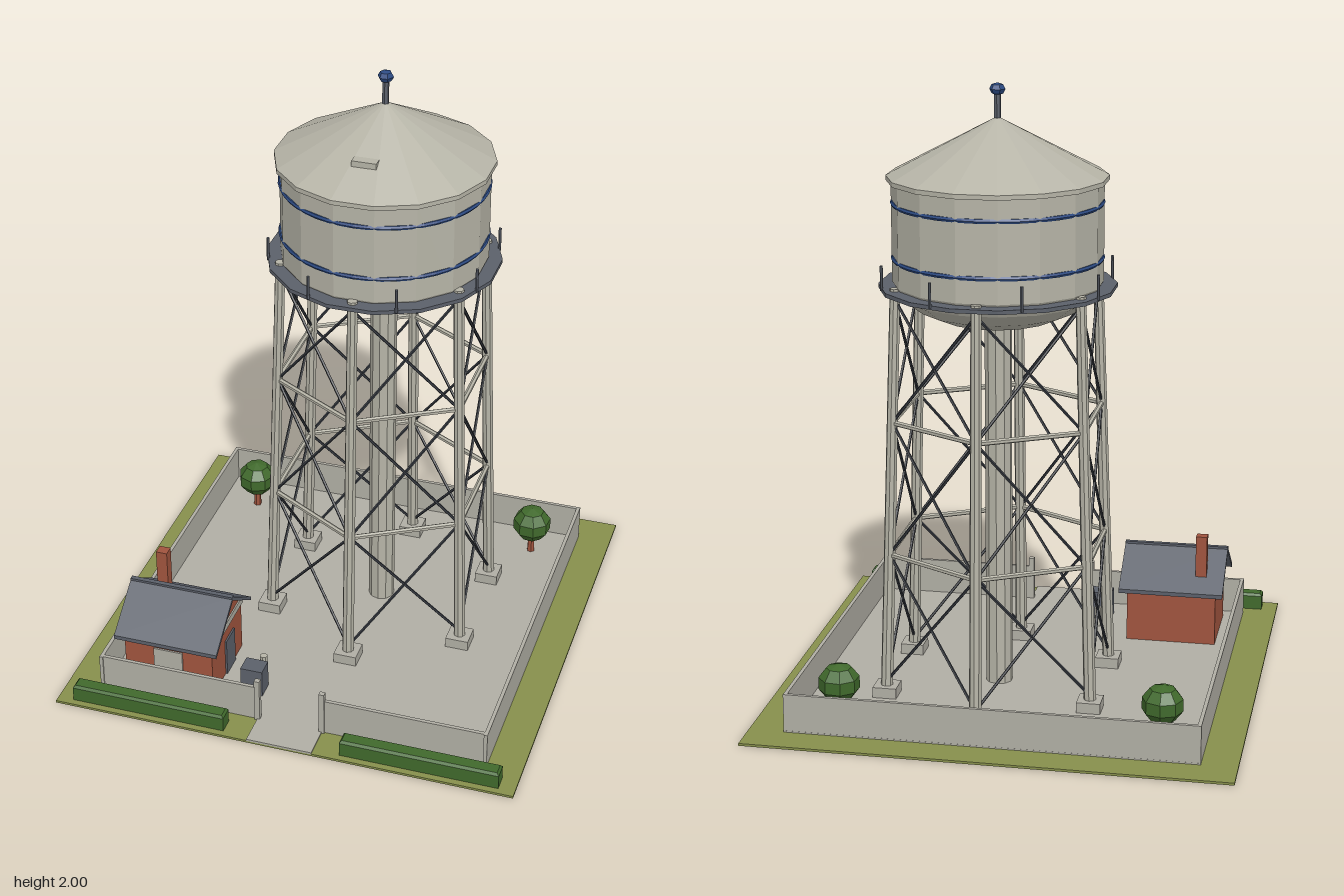
import * as THREE from 'three';

const mat = (name, color) => {
  const m = new THREE.MeshStandardMaterial({ color });
  m.name = name;
  return m;
};

export function createModel() {
  const root = new THREE.Group();
  const grass = mat('grass', 0x868f4c);
  const concrete = mat('concrete', 0xb0aea4);
  const steel = mat('pale steel', 0xb6b4a7);
  const slate = mat('slate', 0x5b606a);
  const dark = mat('dark iron', 0x363a41);
  const blue = mat('blue paint', 0x2c4a82);
  const brick = mat('brick', 0xa0543e);
  const leaf = mat('foliage', 0x40692c);

  // Adds a faceted mesh to a parent
  const add = (parent, name, geometry, material, x = 0, y = 0, z = 0) => {
    const g = geometry.index ? geometry.toNonIndexed() : geometry;
    g.computeVertexNormals();
    const m = new THREE.Mesh(g, material);
    m.name = name;
    m.position.set(x, y, z);
    parent.add(m);
    return m;
  };
  // Box standing on height y
  const box = (parent, name, material, w, h, d, x, y, z) =>
    add(parent, name, new THREE.BoxGeometry(w, h, d), material, x, y + h / 2, z);
  // Round bar between two points
  const bar = (parent, name, material, a, b, rBottom, rTop = rBottom, sides = 6) => {
    const dir = b.clone().sub(a);
    const m = add(parent, name, new THREE.CylinderGeometry(rTop, rBottom, dir.length(), sides), material);
    m.position.copy(a).add(b).multiplyScalar(0.5);
    m.quaternion.setFromUnitVectors(new THREE.Vector3(0, 1, 0), dir.normalize());
    return m;
  };
  const group = (name, x = 0, y = 0, z = 0) => {
    const g = new THREE.Group();
    g.name = name;
    g.position.set(x, y, z);
    root.add(g);
    return g;
  };
  const V = (x, y, z) => new THREE.Vector3(x, y, z);
  const lathe = pts => new THREE.LatheGeometry(pts.map(p => new THREE.Vector2(...p)), 16, Math.PI / 16);

  // Plot, yard and driveway
  const site = group('site');
  box(site, 'lawn', grass, 1.55, 0.008, 1.54, 0, 0, 0);
  box(site, 'yard', concrete, 1.32, 0.007, 1.315, 0, 0.006, -0.003);
  box(site, 'driveway', concrete, 0.22, 0.007, 0.12, 0, 0.006, 0.71);

  // Panelled boundary wall, open at the gate
  const wall = group('boundaryWall');
  for (let i = 0; i < 6; i++) {
    const c = -0.55 + i * 0.22;
    box(wall, 'wallPanel', concrete, 0.22, 0.127, 0.012, c, 0.008, -0.654);
    for (const s of [-1, 1]) box(wall, 'wallPanel', concrete, 0.012, 0.127, 0.22, s * 0.654, 0.008, c);
  }
  for (const s of [-1, 1]) {
    for (let i = 0; i < 3; i++)
      box(wall, 'wallPanel', concrete, 0.183, 0.127, 0.012, s * (0.2015 + i * 0.183), 0.008, 0.65);
    box(wall, 'gatePost', concrete, 0.018, 0.157, 0.018, s * 0.11, 0.008, 0.654);
  }

  // Hedges with chamfered tops
  for (const s of [-1, 1]) {
    const g = new THREE.BoxGeometry(0.525, 0.057, 0.052, 1, 2, 1);
    const p = g.attributes.position;
    for (let i = 0; i < p.count; i++) {
      if (p.getY(i) > 0.02) {
        p.setX(i, p.getX(i) - Math.sign(p.getX(i)) * 0.007);
        p.setZ(i, p.getZ(i) - Math.sign(p.getZ(i)) * 0.007);
      } else if (Math.abs(p.getY(i)) < 0.01) p.setY(i, 0.02);
    }
    add(site, 'hedge', g, leaf, s * 0.459, 0.0365, 0.722);
  }

  // Trees
  for (const [x, z, turn] of [[-0.52, -0.5, 0], [0.515, -0.52, 0.3]]) {
    const tree = group('tree', x, 0, z);
    tree.rotation.y = turn;
    add(tree, 'trunk', new THREE.CylinderGeometry(0.011, 0.014, 0.09, 6), brick, 0, 0.05, 0);
    add(tree, 'crown', new THREE.SphereGeometry(0.069, 8, 5), leaf, 0, 0.13, 0).scale.y = 0.93;
  }

  // Tower legs, rings and cross bracing
  const tower = group('waterTower', 0.075, 0, -0.12);
  const yFoot = 0.04, yHead = 1.37;
  const onLeg = (i, y) => {
    const a = i * Math.PI / 3;
    const r = 0.388 - 0.048 * (y - yFoot) / (yHead - yFoot);
    return V(r * Math.sin(a), y, r * Math.cos(a));
  };
  const tiers = [0.06, 0.495, 0.935, 1.335];
  for (let i = 0; i < 6; i++) {
    const f = onLeg(i, yFoot);
    box(tower, 'footing', concrete, 0.078, 0.04, 0.078, f.x, 0.008, f.z);
    bar(tower, 'leg', steel, f, onLeg(i, yHead), 0.02, 0.017, 8);
    for (const y of [0.495, 0.935])
      bar(tower, 'ringStrut', steel, onLeg(i, y), onLeg(i + 1, y), 0.009);
    for (let t = 0; t < 3; t++) {
      bar(tower, 'brace', dark, onLeg(i, tiers[t]), onLeg(i + 1, tiers[t + 1]), 0.005, 0.005, 5);
      bar(tower, 'brace', dark, onLeg(i + 1, tiers[t]), onLeg(i, tiers[t + 1]), 0.005, 0.005, 5);
    }
  }
  bar(tower, 'riserPipe', steel, V(0, 0.01, 0), V(0, 1.25, 0), 0.044, 0.044, 10);

  // Tank with domed bottom and conical roof
  add(tower, 'tank', lathe([[0, 1.227], [0.09, 1.232], [0.18, 1.252], [0.255, 1.284], [0.31, 1.325],
    [0.336, 1.37], [0.336, 1.7]]), steel);
  add(tower, 'roof', lathe([[0, 1.695], [0.352, 1.695], [0.352, 1.71], [0, 1.895]]), steel);
  for (const y of [1.45, 1.627]) {
    const band = add(tower, 'paintedBand', new THREE.TorusGeometry(0.3305, 0.008, 6, 48), blue, 0, y, 0);
    band.rotation.x = Math.PI / 2;
  }
  box(tower, 'roofHatch', steel, 0.08, 0.022, 0.034, 0, 1.77, 0.211);

  // Walkway and its posts
  add(tower, 'walkway', lathe([[0.325, 1.35], [0.38, 1.35], [0.38, 1.363], [0.325, 1.363], [0.325, 1.35]]), slate);
  for (let i = 0; i < 8; i++) {
    const a = (i + 0.5) * Math.PI / 4;
    const x = 0.373 * Math.sin(a), z = 0.373 * Math.cos(a);
    bar(tower, 'walkwayPost', slate, V(x, 1.355, z), V(x, 1.435, z), 0.005);
  }

  // Mast and beacon
  bar(tower, 'mast', slate, V(0, 1.87, 0), V(0, 1.975, 0), 0.011);
  add(tower, 'beacon', new THREE.SphereGeometry(0.026, 6, 4), blue, 0, 1.98, 0).scale.y = 0.77;

  // Brick pump house, gables facing left and right
  const house = group('pumpHouse', -0.441, 0, 0.454);
  const prism = (name, pts, length, material) => {
    const shape = new THREE.Shape(pts.map(p => new THREE.Vector2(...p)));
    const g = new THREE.ExtrudeGeometry(shape, { depth: length, bevelEnabled: false });
    g.translate(0, 0, -length / 2).rotateY(Math.PI / 2);
    return add(house, name, g, material);
  };
  prism('walls', [[-0.14, 0.008], [0.14, 0.008], [0.14, 0.205], [0, 0.308], [-0.14, 0.205]], 0.306, brick);
  prism('houseRoof', [[-0.167, 0.19], [0, 0.308], [0.167, 0.19], [0.167, 0.204], [0, 0.322], [-0.167, 0.204]], 0.358, slate);
  box(house, 'eavesBand', concrete, 0.316, 0.025, 0.29, 0, 0.193, 0);
  box(house, 'ridgeCap', slate, 0.358, 0.01, 0.016, 0, 0.314, 0);
  box(house, 'chimney', brick, 0.038, 0.19, 0.036, -0.098, 0.2, -0.09);
  box(house, 'door', slate, 0.008, 0.138, 0.08, 0.155, 0.008, -0.02);
  box(house, 'window', concrete, 0.1, 0.09, 0.008, 0, 0.075, 0.142);

  // Yard equipment
  const yardKit = group('yardEquipment');
  box(yardKit, 'controlCabinet', slate, 0.075, 0.1, 0.062, -0.17, 0.01, 0.518);
  bar(yardKit, 'ventPipe', steel, V(-0.17, 0.01, 0.425), V(-0.17, 0.08, 0.425), 0.013, 0.013, 8);

  return root;
}
